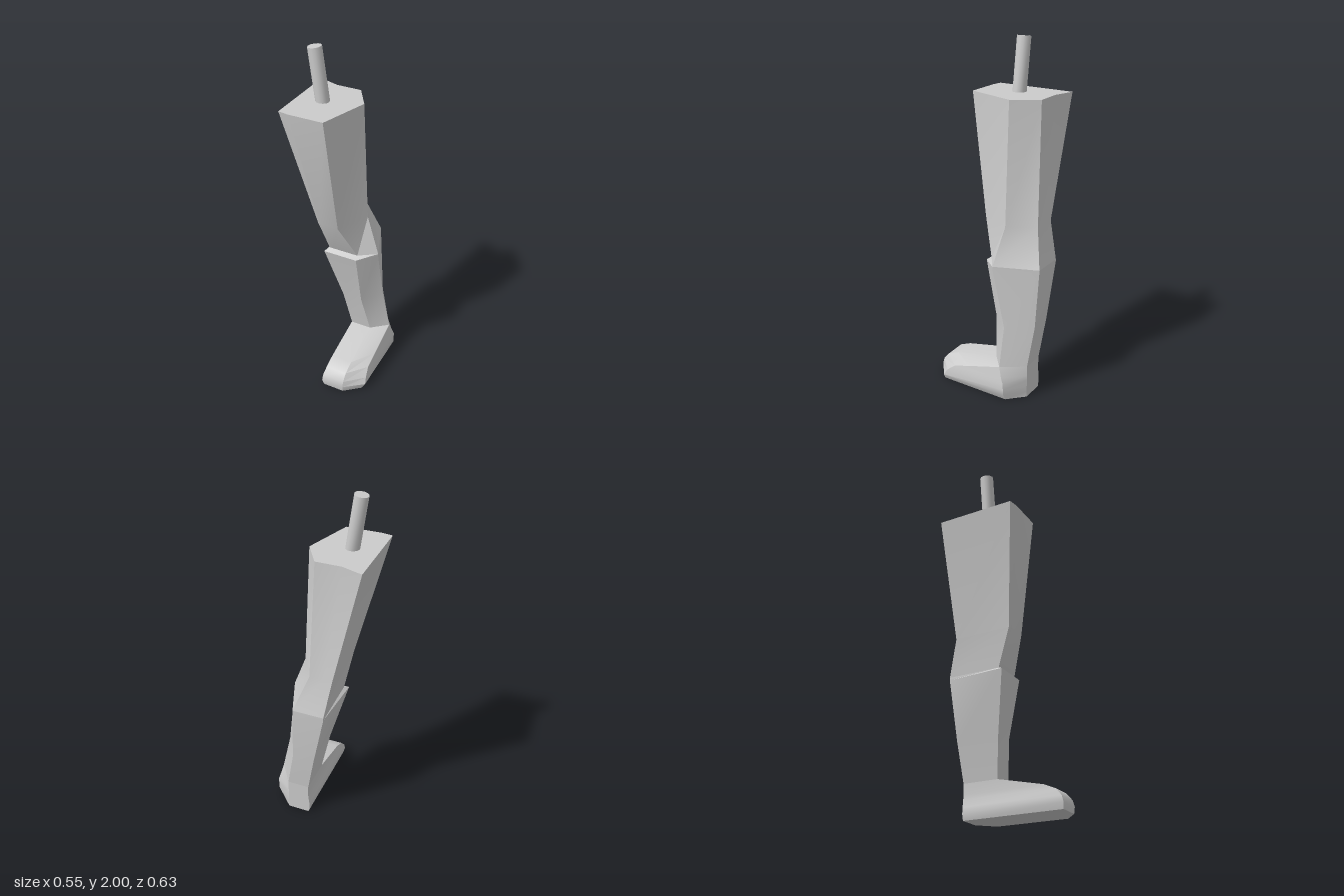
import * as THREE from 'three';
import { toCreasedNormals } from 'three/addons/utils/BufferGeometryUtils.js';

const material = new THREE.MeshStandardMaterial({ color: 0xcccccc });

// Skins horizontal rings listed from top to bottom: [y, [x, z], [x, z], ...].
function loft(name, rings, capTop, capBottom) {
  const loops = rings.map(([y, ...pts]) => pts.map(([x, z]) => new THREE.Vector3(x, y, z)));
  const pos = [];
  const tri = (a, b, c) => {
    if (a.distanceTo(b) < 1e-4 || b.distanceTo(c) < 1e-4 || c.distanceTo(a) < 1e-4) return;
    for (const p of [a, b, c]) pos.push(p.x, p.y, p.z);
  };
  const n = loops[0].length;
  for (let r = 0; r < loops.length - 1; r++) {
    for (let i = 0; i < n; i++) {
      const j = (i + 1) % n;
      const [up, low] = [loops[r], loops[r + 1]];
      tri(up[i], up[j], low[j]);
      tri(up[i], low[j], low[i]);
    }
  }
  const cap = (loop, top) => {
    const mid = loop.reduce((s, p) => s.add(p), new THREE.Vector3()).divideScalar(n);
    loop.forEach((p, i) => {
      const q = loop[(i + 1) % n];
      if (top) tri(mid, q, p); else tri(mid, p, q);
    });
  };
  if (capTop) cap(loops[0], true);
  if (capBottom) cap(loops[loops.length - 1], false);

  const geometry = new THREE.BufferGeometry();
  geometry.setAttribute('position', new THREE.Float32BufferAttribute(pos, 3));
  const mesh = new THREE.Mesh(toCreasedNormals(geometry, 0.5), material);
  mesh.name = name;
  return mesh;
}

export function createModel() {
  const leg = new THREE.Group();
  leg.name = 'leg';

  // Thigh: back left, back middle, back right, outer side, front right, front left, left
  leg.add(loft('thigh', [
    [1.70, [-0.275, -0.285], [-0.155, -0.245], [-0.01, -0.245], [0.08, -0.10], [-0.01, 0.19], [-0.215, 0.19], [-0.275, 0.18]],
    [1.00, [-0.11, -0.26], [-0.06, -0.257], [0.025, -0.255], [0.115, -0.10], [0.02, 0.09], [-0.09, 0.09], [-0.11, 0.08]],
    [0.785, [-0.08, -0.315], [-0.03, -0.315], [0.105, -0.315], [0.20, -0.07], [0.10, 0], [-0.06, 0], [-0.08, 0]],
  ], true, false));

  // Lower leg, with a small ledge under the knee at the front
  leg.add(loft('lowerLeg', [
    [0.785, [-0.08, -0.315], [0.105, -0.315], [0.20, -0.07], [0.10, 0], [-0.08, 0]],
    [0.77, [-0.08, -0.315], [0.105, -0.315], [0.20, -0.07], [0.105, 0.03], [-0.10, 0.03]],
    [0.43, [-0.01, -0.30], [0.12, -0.30], [0.205, -0.15], [0.11, -0.04], [-0.01, -0.04]],
    [0.20, [0.035, -0.28], [0.165, -0.28], [0.255, -0.15], [0.16, -0.07], [0.035, -0.07]],
  ], false, false));

  // Foot: heel left, heel right, side back, side front, toe right, toe left
  leg.add(loft('foot', [
    [0.20, [0.035, -0.28], [0.165, -0.28], [0.255, -0.15], [0.255, -0.15], [0.16, -0.07], [0.035, -0.07]],
    [0.14, [0.037, -0.28], [0.165, -0.28], [0.268, -0.17], [0.258, 0.06], [0.165, 0.20], [0.038, 0.20]],
    [0.11, [0.035, -0.28], [0.165, -0.28], [0.275, -0.185], [0.26, 0.16], [0.165, 0.27], [0.037, 0.27]],
    [0.07, [0.03, -0.28], [0.165, -0.28], [0.275, -0.187], [0.27, 0.21], [0.165, 0.305], [0.03, 0.305]],
    [0.035, [0.028, -0.28], [0.165, -0.28], [0.273, -0.188], [0.275, 0.23], [0.165, 0.315], [0.028, 0.315]],
    [0.00, [0.037, -0.28], [0.165, -0.28], [0.255, -0.19], [0.255, 0.235], [0.165, 0.31], [0.037, 0.31]],
  ], false, true));

  // Tilted peg standing on the top of the thigh
  const from = new THREE.Vector3(-0.128, 1.67, -0.035);
  const to = new THREE.Vector3(-0.175, 1.995, -0.035);
  const axis = to.clone().sub(from);
  const pegGeometry = new THREE.CylinderGeometry(0.039, 0.039, axis.length(), 12);
  const peg = new THREE.Mesh(toCreasedNormals(pegGeometry, 0.6), material);
  peg.name = 'hipPeg';
  peg.position.copy(from).add(to).multiplyScalar(0.5);
  peg.quaternion.setFromUnitVectors(new THREE.Vector3(0, 1, 0), axis.normalize());
  leg.add(peg);

  return leg;
}
